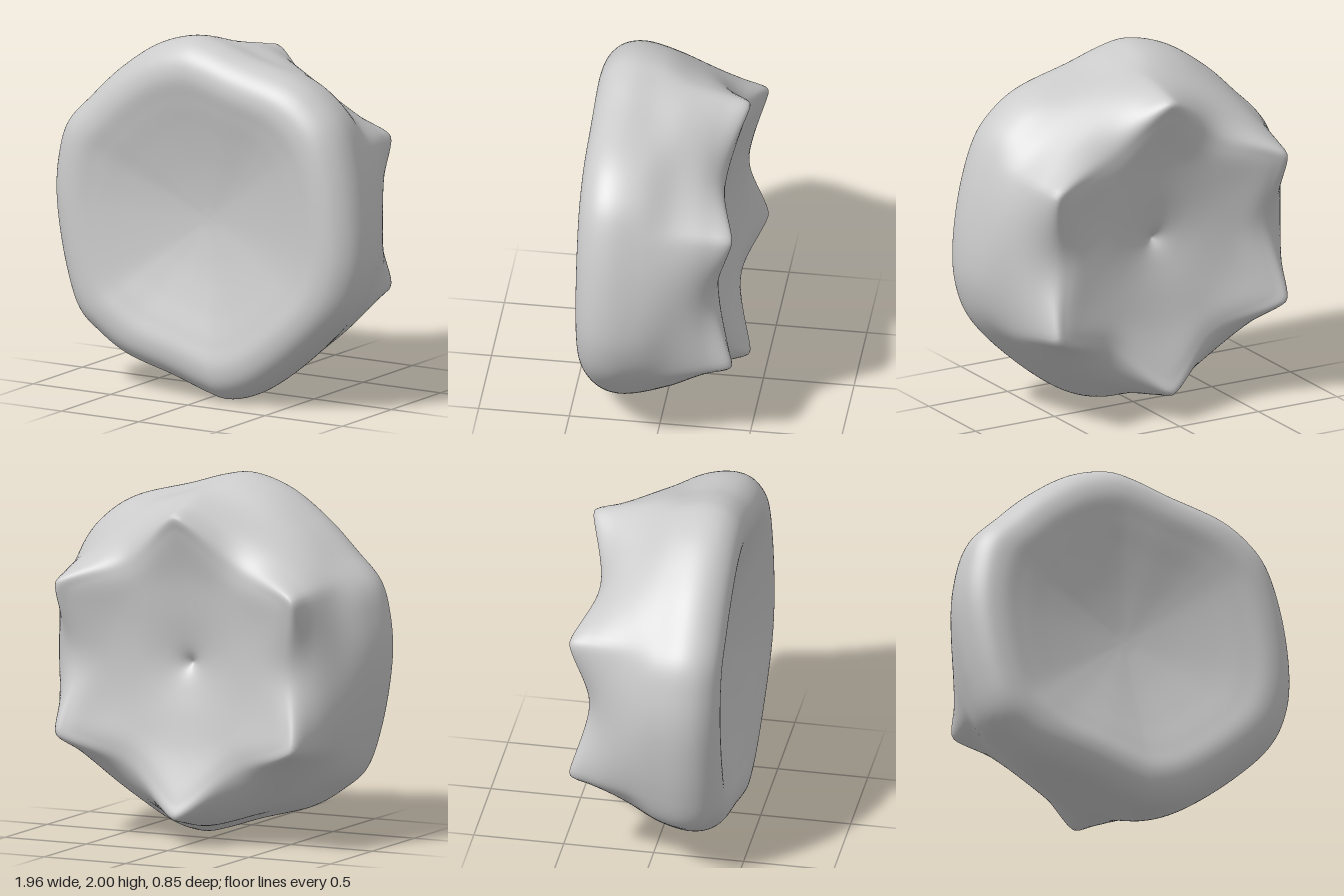
import * as THREE from 'three';
import { mergeVertices } from 'three/addons/utils/BufferGeometryUtils.js';

// Widest contour, counter-clockwise from the top, around the centre (0, 1)
const OUTLINE = [
  [-0.12, 1], [-0.34, 0.94], [-0.58, 0.78], [-0.76, 0.61], [-0.91, 0.45], [-0.965, 0.27], [-0.98, 0.03],
  [-0.91, -0.38], [-0.82, -0.61], [-0.69, -0.72], [-0.53, -0.815], [-0.2, -0.91], [0.02, -0.98], [0.12, -1],
  [0.3, -0.95], [0.6, -0.74], [0.88, -0.45], [0.96, -0.25], [0.975, -0.03], [0.92, 0.34], [0.82, 0.61],
  [0.7, 0.74], [0.56, 0.825], [0.22, 0.92], [0.02, 0.98],
];

// Front dish, rim and upper flank: [fraction of the outline radius, z]
const FRONT = [
  [0, 0.27], [0.08, 0.274], [0.28, 0.302], [0.5, 0.35], [0.68, 0.397], [0.81, 0.423],
  [0.905, 0.4], [0.975, 0.33], [1, 0.23], [0.97, 0.07],
];

// Lower flank and back: [radius, z] at a peak and halfway between two peaks
const BACK = [
  { peak: [0.92, -0.1], mid: [0.875, -0.09] },
  { peak: [0.875, -0.3], mid: [0.775, -0.235] },
  { peak: [0.835, -0.425], mid: [0.66, -0.312] },
  { peak: [0.75, -0.405], mid: [0.57, -0.325] },
  { peak: [0.5, -0.325], mid: [0.44, -0.31] },
  { peak: [0.22, -0.27], mid: [0.22, -0.27] },
  { peak: [0.07, -0.23], mid: [0.07, -0.23] },
  { peak: [0, -0.19], mid: [0, -0.19] },
];

const AROUND = 192;
const ALONG = 110;

function createBody() {
  const outline = new THREE.CatmullRomCurve3(
    OUTLINE.map(([x, y]) => new THREE.Vector3(x, y, 0)), true).getSpacedPoints(AROUND);
  const positions = [];
  const index = [];

  for (let j = 0; j < AROUND; j++) {
    const { x, y } = outline[j];
    const radius = Math.hypot(x, y);
    const angle = Math.atan2(y, x);
    // Six pointed peaks, at 30, 90, 150... degrees
    const w = 1.1 - Math.sqrt(Math.cos(3 * angle) ** 2 + 0.01);

    // Meridian from the dish centre over the rim to the back dimple
    const section = [
      ...FRONT.map(([f, z]) => new THREE.Vector3(f * radius, z, 0)),
      ...BACK.map(({ peak, mid }) => new THREE.Vector3(
        THREE.MathUtils.lerp(mid[0], peak[0], w),
        THREE.MathUtils.lerp(mid[1], peak[1], w), 0)),
    ];
    const curve = new THREE.CatmullRomCurve3(section);
    for (let i = 0; i <= ALONG; i++) {
      const p = curve.getPoint(i / ALONG);
      positions.push(p.x * Math.cos(angle), 1 + p.x * Math.sin(angle), p.y);
    }
  }

  const at = (i, j) => (j % AROUND) * (ALONG + 1) + i;
  for (let j = 0; j < AROUND; j++) {
    for (let i = 0; i < ALONG; i++) {
      const a = at(i, j), b = at(i + 1, j), c = at(i + 1, j + 1), d = at(i, j + 1);
      // The first and last strips close to a point
      if (i < ALONG - 1) index.push(a, b, c);
      else index.push(a, b, d);
      if (i > 0 && i < ALONG - 1) index.push(a, c, d);
    }
  }

  let geometry = new THREE.BufferGeometry();
  geometry.setAttribute('position', new THREE.Float32BufferAttribute(positions, 3));
  geometry.setIndex(index);
  geometry = mergeVertices(geometry, 1e-5);
  geometry.computeVertexNormals();
  return geometry;
}

export function createModel() {
  const group = new THREE.Group();
  const body = new THREE.Mesh(createBody(), new THREE.MeshStandardMaterial({ color: 0xcccccc }));
  body.name = 'dishedHexagonalBody';
  group.add(body);
  return group;
}
